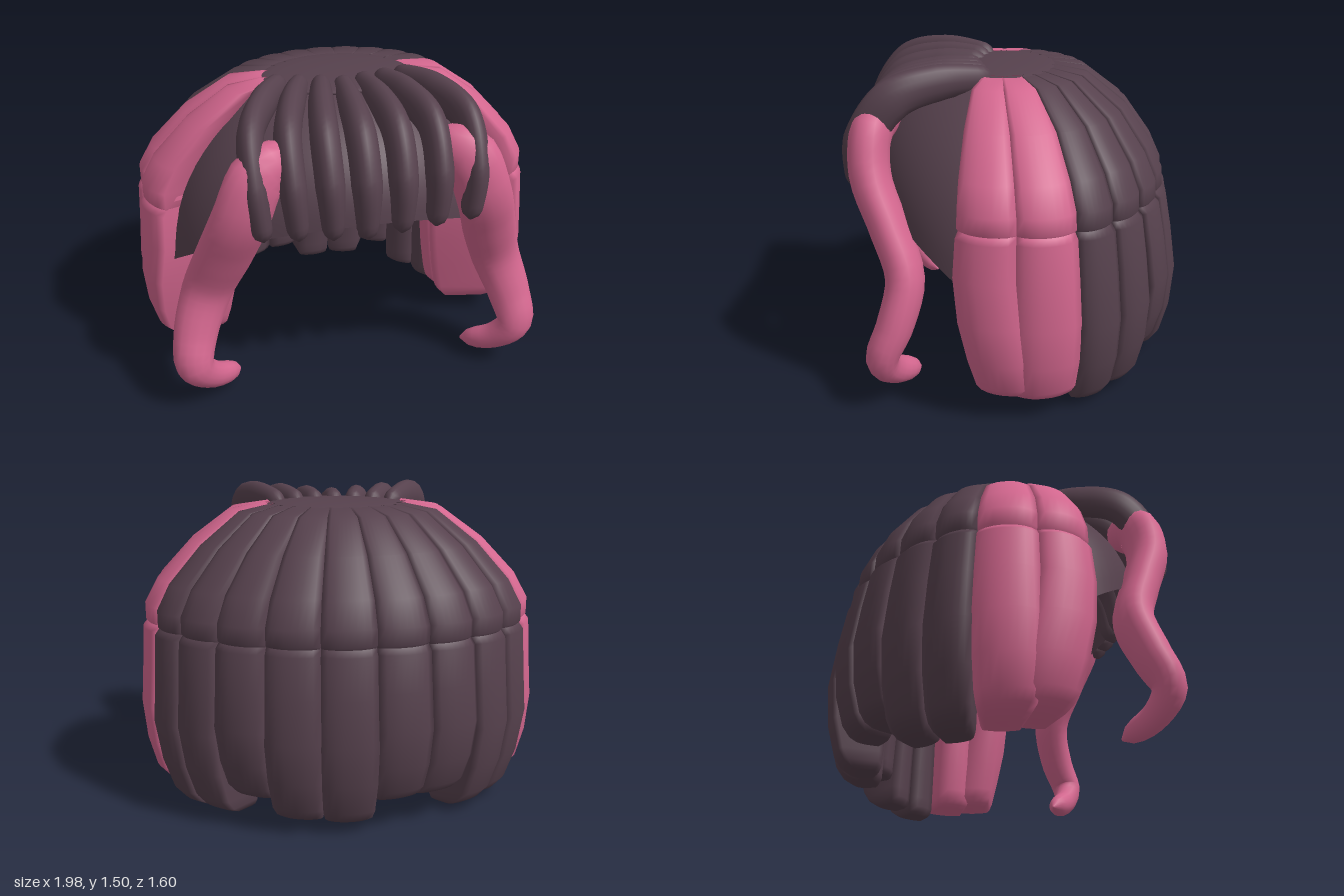
import * as THREE from 'three';

const dark = new THREE.MeshStandardMaterial({ color: 0x56414d });
dark.name = 'dark plum hair';
const pink = new THREE.MeshStandardMaterial({ color: 0xd4678f });
pink.name = 'pink hair';
const capMat = dark.clone();
capMat.name = 'dark plum cap';
capMat.side = THREE.DoubleSide;

const rad = THREE.MathUtils.degToRad;
const V = (x, y, z) => new THREE.Vector3(x, y, z);

// Closed skin over equal-length rings of points, turned so it faces outwards
function loft(rings) {
  const n = rings[0].length, pts = rings.flat(), idx = [];
  for (let i = 0; i < rings.length - 1; i++)
    for (let j = 0; j < n; j++) {
      const a = i * n + j, b = i * n + (j + 1) % n;
      idx.push(a, b, a + n, b, b + n, a + n);
    }
  for (const end of [0, rings.length - 1]) {
    const c = V(0, 0, 0);
    rings[end].forEach(p => c.addScaledVector(p, 1 / n));
    const ci = pts.push(c) - 1;
    for (let j = 0; j < n; j++) {
      const a = end * n + j, b = end * n + (j + 1) % n;
      if (end) idx.push(ci, a, b); else idx.push(ci, b, a);
    }
  }
  let volume = 0;
  const cross = V(0, 0, 0);
  for (let i = 0; i < idx.length; i += 3)
    volume += pts[idx[i]].dot(cross.crossVectors(pts[idx[i + 1]], pts[idx[i + 2]]));
  if (volume < 0) idx.reverse();
  const g = new THREE.BufferGeometry().setFromPoints(pts);
  g.setIndex(idx);
  g.computeVertexNormals();
  return g;
}

// Wedge-shaped lock between two angles; ring = [rx, rz, y, zCentre, innerFactor, shrink, angleShift]
function lockGeometry(t0, t1, rings) {
  const half = (t1 - t0) / 2;
  return loft(rings.map(([rx, rz, y, cz, k, shrink, shift = 0]) => {
    const ring = [], fm = (1 + k) / 2;
    const add = (s, f) => {
      const t = (t0 + t1) / 2 + shift + s * half * (0.4 + 0.6 * shrink) * 1.01;
      const r = fm + (f - fm) * shrink;
      ring.push(V(rx * r * Math.cos(t), y, cz + rz * r * Math.sin(t)));
    };
    for (let i = -4; i <= 4; i++) add(i / 4, 1 - 0.035 * Math.abs(i / 4) ** 2.5);
    for (let i = 2; i >= -2; i--) add(i / 2, k + 0.04 * (i / 2) ** 2);
    return ring;
  }));
}

// Tapered strand; each point is [x, y, z, radius along ref, radius across]
function strandGeometry(points, ref) {
  const curve = new THREE.CatmullRomCurve3(points.map(p => V(p[0], p[1], p[2])));
  const steps = 36, rings = [];
  const ringAt = (t, scale) => {
    const c = curve.getPoint(t), tan = curve.getTangent(t);
    const side = ref.clone().addScaledVector(tan, -ref.dot(tan)).normalize();
    const up = V(0, 0, 0).crossVectors(side, tan);
    const f = t * (points.length - 1), i = Math.min(Math.floor(f), points.length - 2);
    const a = THREE.MathUtils.lerp(points[i][3], points[i + 1][3], f - i) * scale;
    const b = THREE.MathUtils.lerp(points[i][4], points[i + 1][4], f - i) * scale;
    return Array.from({ length: 16 }, (_, j) => {
      const q = j / 16 * Math.PI * 2;
      return c.clone().addScaledVector(side, a * Math.cos(q)).addScaledVector(up, b * Math.sin(q));
    });
  };
  for (let i = 0; i <= steps; i++) {
    const t = i / steps, e = Math.min(1, Math.min(t, 1 - t) / 0.07);
    rings.push(ringAt(t, Math.max(0.15, Math.sqrt(1 - (1 - e) ** 2))));
  }
  return loft(rings);
}

// Front part of the cap, its rim rising from the temples to the brow
function capGeometry() {
  const nu = 14, nv = 32, pos = [], idx = [];
  for (let i = 0; i <= nu; i++)
    for (let j = 0; j <= nv; j++) {
      const u = i / nu, t = rad(16 + 148 * j / nv), s = Math.sin(t);
      const rim = 0.58 + 0.38 * Math.min(1, Math.max(0, (s - 0.3) / 0.7));
      const w = 0.8 * Math.sin(u * Math.PI / 2) + 0.2 * u;
      pos.push((0.3 + 0.6 * w) * Math.cos(t), rim + (1.42 - rim) * (1 - u ** 1.6),
        0.06 * (1 - u) + (0.2 + 0.52 * w) * s);
    }
  for (let i = 0; i < nu; i++)
    for (let j = 0; j < nv; j++) {
      const a = i * (nv + 1) + j, b = a + nv + 1;
      idx.push(a, a + 1, b, a + 1, b + 1, b);
    }
  const g = new THREE.BufferGeometry();
  g.setAttribute('position', new THREE.Float32BufferAttribute(pos, 3));
  g.setIndex(idx);
  g.computeVertexNormals();
  return g;
}

export function createModel() {
  const model = new THREE.Group();
  model.name = 'hairstyle';
  const add = (name, geometry, material) => {
    const m = new THREE.Mesh(geometry, material);
    m.name = name;
    model.add(m);
    return m;
  };

  // Crown and front cap
  const crown = add('crown', new THREE.SphereGeometry(1, 40, 16), dark);
  crown.scale.set(0.36, 0.03, 0.26);
  crown.position.set(0, 1.42, 0.06);
  add('frontCap', capGeometry(), capMat);

  // Crown locks and hanging locks, from the left temple round the back to the right
  const bottoms = [0.08, 0.06, 0, 0.02, 0.13, 0.04, 0.03, 0.13, 0.13, 0.02, 0.01, 0.06, 0.08];
  const crownRings = [
    [0.30, 0.20, 1.40, 0.07, 0.9, 0.8], [0.37, 0.25, 1.435, 0.07, 0.86, 1],
    [0.53, 0.40, 1.41, 0.06, 0.8, 1], [0.73, 0.56, 1.265, 0.03, 0.78, 1],
    [0.895, 0.665, 1.09, 0.01, 0.78, 1], [0.96, 0.71, 0.97, 0, 0.8, 1],
    [0.96, 0.715, 0.895, 0, 0.84, 1], [0.945, 0.70, 0.865, 0, 0.86, 0.8],
  ];
  let edge = 23;
  bottoms.forEach((b, i) => {
    const isPink = i < 2 || i > 10, step = isPink ? 21.5 : 140 / 9;
    const t0 = rad(edge), t1 = rad(edge - step);
    edge -= step;
    const mat = isPink ? pink : dark;
    add('crownLock', lockGeometry(t0, t1, crownRings), mat);
    const shift = i === 0 ? -rad(8) : i === 12 ? rad(8) : 0;
    const y = v => 0.88 + (b - 0.88) * v;
    const k = isPink ? 0.52 : 0.62;
    const tuck = isPink ? 0.02 : 0.06;
    add('hangingLock', lockGeometry(t0, t1, [
      [0.84, 0.62, 1.03, 0, k + 0.18, 0.8, 0], [0.90, 0.67, 0.94, 0, k + 0.06, 1, 0],
      [0.955, 0.705, y(0), 0, k + 0.03, 1, 0], [0.975, 0.735, y(0.03), 0, k + 0.02, 1, 0],
      [0.985, 0.77, y(0.25), 0, k, 1, 0], [1.0, 0.80, y(0.5), 0, k, 1, shift * 0.3],
      [0.99 - tuck * 0.4, 0.785, y(0.73), 0, k + 0.03, 1, shift * 0.65],
      [0.965 - tuck * 0.8, 0.75, y(0.9), 0, k + 0.07, 0.98, shift * 0.9],
      [0.94 - tuck, 0.725, y(0.955), 0, k + 0.09, 0.92, shift],
      [0.91 - tuck, 0.70, y(0.985), 0, k + 0.11, 0.76, shift],
      [0.89 - tuck, 0.68, y(1), 0, k + 0.12, 0.5, shift],
    ]), mat);
  });

  // Fringe strands arching over the brow
  for (let i = -3; i <= 3; i++) {
    const a = Math.abs(i) / 3;
    add('fringeStrand', strandGeometry([
      [0.09 * i, 1.415, 0.17 - 0.05 * a, 0.045, 0.06],
      [0.132 * i, 1.385 + 0.035 * a, 0.37, 0.06, 0.085],
      [0.16 * i, 1.32 + 0.04 * a, 0.57, 0.068 - 0.01 * a, 0.095],
      [0.162 * i, 1.14 + 0.03 * a, 0.69 + 0.015 * a, 0.068 - 0.012 * a, 0.09],
      [0.154 * i, 0.89 + 0.06 * a, 0.72 + 0.025 * a, 0.045, 0.05],
    ], V(1, 0, 0)), dark);
  }

  // Long curling strands in front of the ears
  for (const s of [1, -1]) {
    add(s > 0 ? 'leftSideStrand' : 'rightSideStrand', strandGeometry([
      [0.30, 1.28, 0.57, 0.07, 0.08], [0.46, 1.23, 0.66, 0.095, 0.125],
      [0.545, 1.04, 0.67, 0.095, 0.13], [0.62, 0.82, 0.59, 0.09, 0.13],
      [0.70, 0.60, 0.515, 0.09, 0.12], [0.77, 0.40, 0.56, 0.085, 0.105],
      [0.79, 0.25, 0.62, 0.075, 0.09], [0.71, 0.15, 0.58, 0.06, 0.07],
      [0.57, 0.08, 0.475, 0.045, 0.05],
    ].map(([x, ...rest]) => [s * x, ...rest]), V(0, 0, 1)), pink);
  }
  return model;
}
